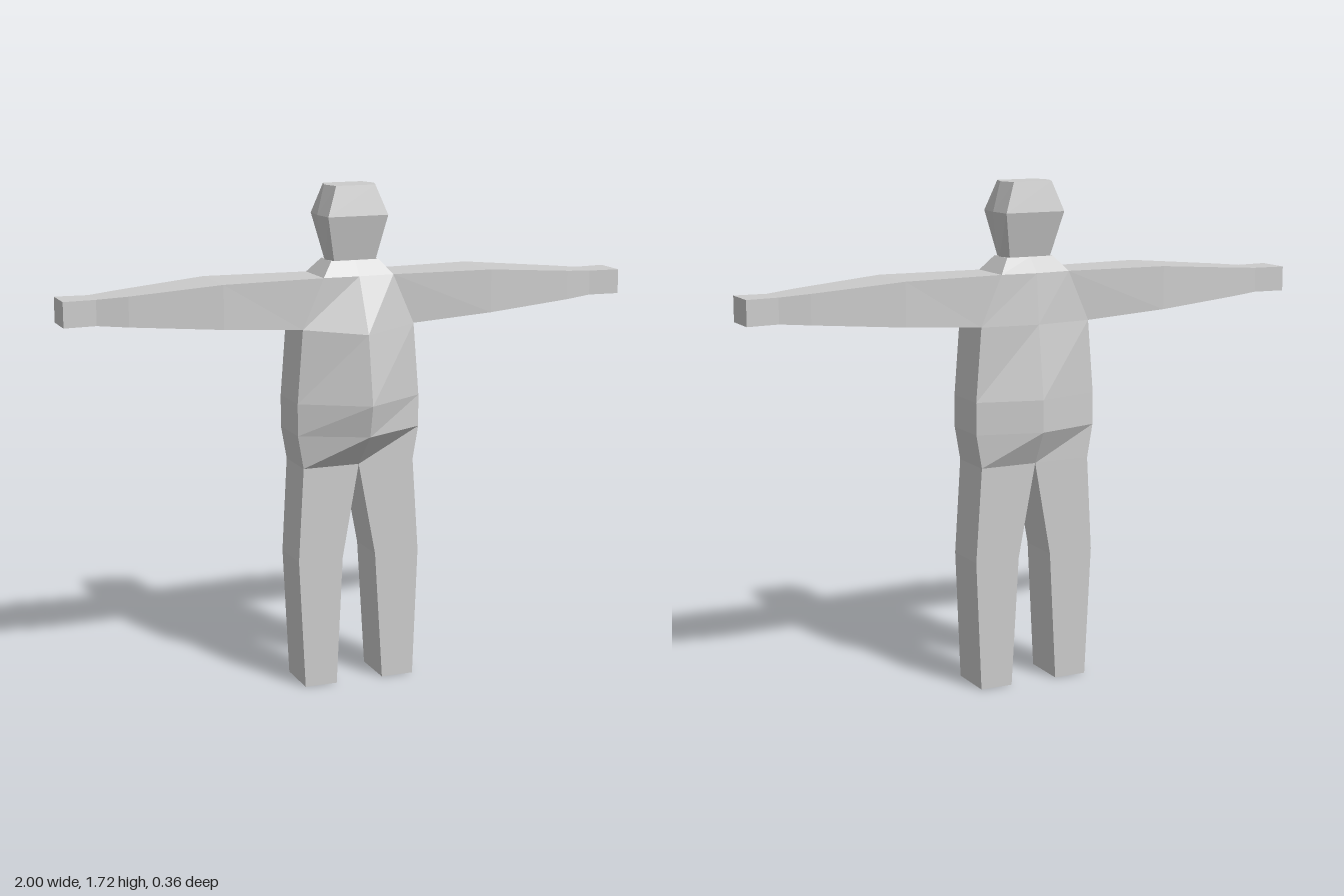
import * as THREE from 'three';

const material = new THREE.MeshStandardMaterial({ color: 0xcccccc, flatShading: true });

// Skin between equal-sized rings of [x, y, z] with closed ends; side -1 mirrors in x
function loft(name, rings, side = 1) {
  const loops = rings.map((ring) => {
    const r = ring.map(([x, y, z]) => [x * side, y, z]);
    return side < 0 ? r.reverse() : r;
  });
  const n = loops[0].length;
  const index = [];
  for (let k = 0; k < loops.length - 1; k++) {
    for (let i = 0; i < n; i++) {
      const j = (i + 1) % n;
      const a = k * n + i, b = k * n + j, c = b + n, d = a + n;
      index.push(a, b, c, a, c, d);
    }
  }
  const top = (loops.length - 1) * n;
  for (let i = 1; i < n - 1; i++) {
    index.push(0, i + 1, i, top, top + i, top + i + 1);
  }
  const geometry = new THREE.BufferGeometry();
  geometry.setAttribute('position', new THREE.Float32BufferAttribute(loops.flat(2), 3));
  geometry.setIndex(index);
  const flat = geometry.toNonIndexed();
  flat.computeVertexNormals();
  const mesh = new THREE.Mesh(flat, material);
  mesh.name = name;
  return mesh;
}

// Six-sided torso ring with a ridge down the chest and the spine
const torsoRing = ([y, w, front, back, ridge, spine, ridgeY = y]) => [
  [w, y, front], [w, y, back], [0, y, spine],
  [-w, y, back], [-w, y, front], [0, ridgeY, ridge],
];

// Six-sided head ring with points at the ears
const headRing = ([y, ear, w, front, back]) => {
  const mid = (front + back) / 2;
  return [
    [w, y, front], [ear, y, mid], [w, y, back],
    [-w, y, back], [-ear, y, mid], [-w, y, front],
  ];
};

// Arm ring; the root slopes from armpit to shoulder
const armRing = ([xLow, xHigh, low, high, front, back]) => [
  [xLow, low, front], [xLow, low, back], [xHigh, high, back], [xHigh, high, front],
];

const legRing = ([y, inner, outer, front, back]) => [
  [outer, y, front], [outer, y, back], [inner, y, back], [inner, y, front],
];

export function createModel() {
  const group = new THREE.Group();
  group.name = 'figure';

  // Hips, belly, chest, shoulders and neck
  group.add(loft('torso', [
    [0.775, 0.2, 0.05, -0.12, 0.05, -0.12],
    [0.89, 0.22, 0.05, -0.12, 0.155, -0.18],
    [1.0, 0.22, 0.05, -0.12, 0.18, -0.18],
    [1.25, 0.2, 0.05, -0.12, 0.14, -0.145, 1.235],
    [1.42, 0.125, 0.05, -0.12, 0.055, -0.13],
    [1.47, 0.085, 0.015, -0.08, 0.018, -0.082],
  ].map(torsoRing)));

  group.add(loft('head', [
    [1.47, 0.09, 0.075, 0.015, -0.08],
    [1.62, 0.115, 0.107, 0.047, -0.12],
    [1.72, 0.09, 0.07, 0.023, -0.1],
  ].map(headRing)));

  for (const side of [1, -1]) {
    const label = side > 0 ? 'left' : 'right';
    group.add(loft(label + 'Arm', [
      [0.2, 0.125, 1.25, 1.42, 0.05, -0.12],
      [0.48, 0.48, 1.272, 1.42, 0.07, -0.145],
      [0.79, 0.79, 1.295, 1.395, 0.04, -0.11],
      [0.89, 0.89, 1.302, 1.387, 0.015, -0.09],
      [1.0, 1.0, 1.302, 1.387, 0.022, -0.1],
    ].map(armRing), side));

    group.add(loft(label + 'Leg', [
      [0, 0.085, 0.2, 0.058, -0.11],
      [0.45, 0.06, 0.22, 0.053, -0.115],
      [0.775, 0, 0.2, 0.05, -0.12],
    ].map(legRing), side));
  }
  return group;
}
